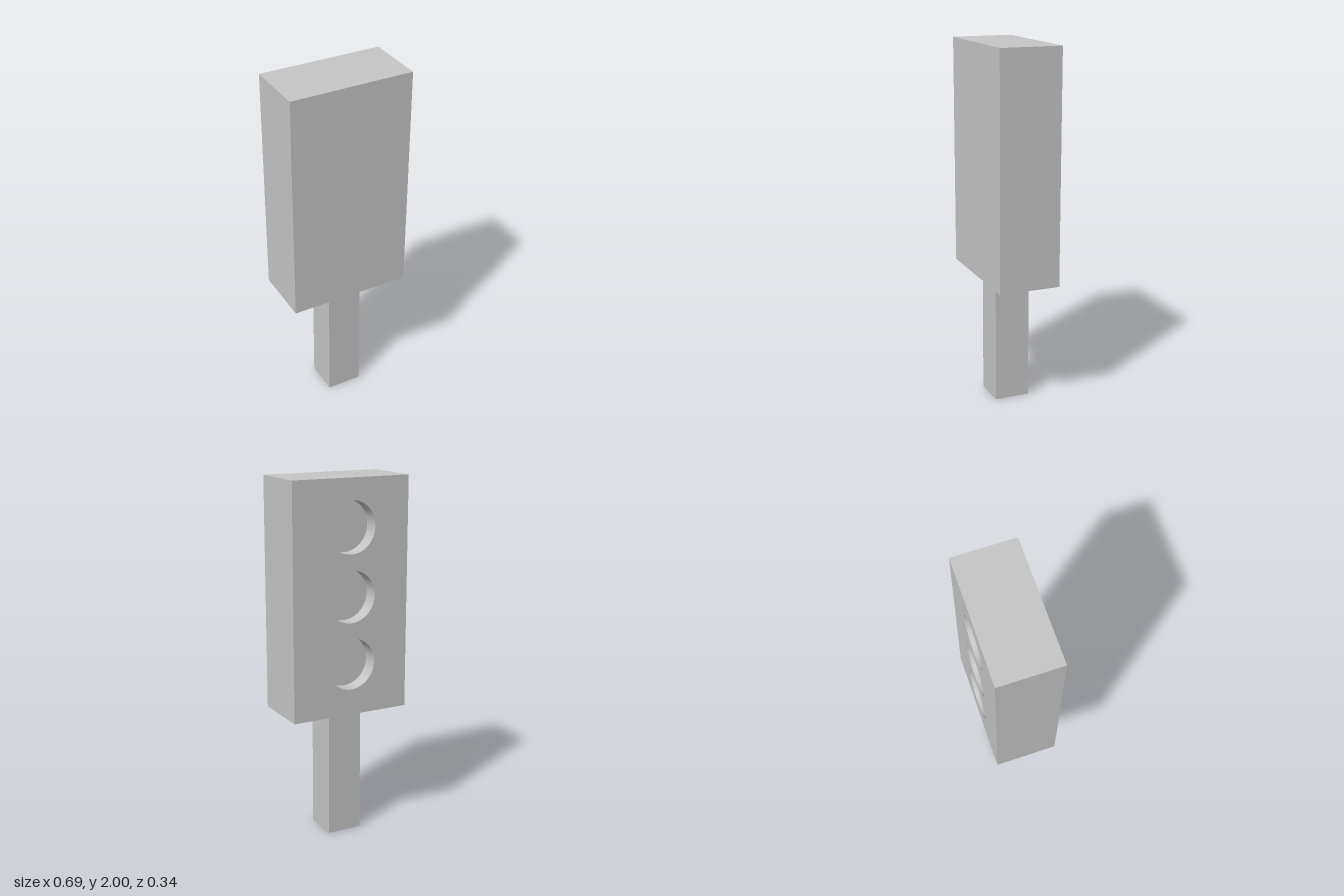
import * as THREE from 'three';
import { toCreasedNormals } from 'three/addons/utils/BufferGeometryUtils.js';

const WIDTH = 0.686, DEPTH = 0.343, TOP = 2, BOTTOM = 0.717;
const HEIGHT = TOP - BOTTOM, CENTRE_Y = (TOP + BOTTOM) / 2;
const POST = 0.198;
const RECESS = 0.086, LAMP_RADIUS = 0.142, LAMP_HEIGHTS = [1.002, 1.372, 1.742];

export function createModel() {
  const model = new THREE.Group();
  model.name = 'signalLight';
  const grey = new THREE.MeshStandardMaterial({ color: 0xc5c5c5 });
  grey.name = 'lightGrey';

  const add = (name, geometry, x, y, z) => {
    const mesh = new THREE.Mesh(geometry, grey);
    mesh.name = name;
    mesh.position.set(x, y, z);
    model.add(mesh);
  };

  // Square post under the housing
  add('post', new THREE.BoxGeometry(POST, BOTTOM, POST), 0, BOTTOM / 2, 0);

  // Solid part of the housing; its back face is the floor of the lamp recesses
  add('housing', new THREE.BoxGeometry(WIDTH, HEIGHT, DEPTH - RECESS), 0, CENTRE_Y, RECESS / 2);

  // Back plate pierced by three round lamp recesses
  const w = WIDTH / 2;
  const plate = new THREE.Shape([
    new THREE.Vector2(-w, BOTTOM), new THREE.Vector2(w, BOTTOM),
    new THREE.Vector2(w, TOP), new THREE.Vector2(-w, TOP),
  ]);
  for (const y of LAMP_HEIGHTS) {
    plate.holes.push(new THREE.Path().absarc(0, y, LAMP_RADIUS, 0, Math.PI * 2, true));
  }
  const plateGeometry = new THREE.ExtrudeGeometry(plate, {
    depth: RECESS, bevelEnabled: false, curveSegments: 48,
  });
  add('lampPlate', toCreasedNormals(plateGeometry, Math.PI / 6), 0, 0, -DEPTH / 2);

  return model;
}
